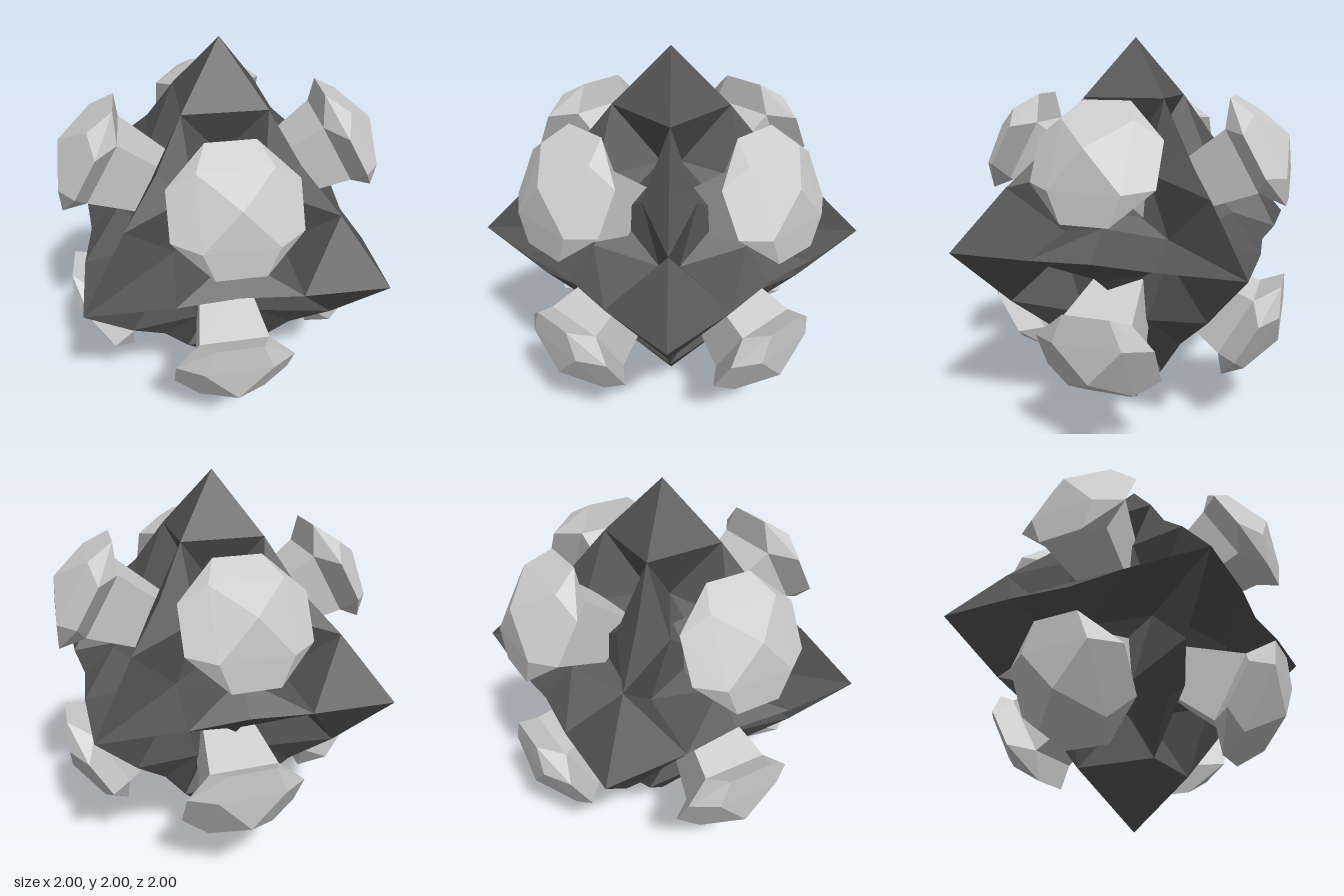
import * as THREE from 'three';

const dark = new THREE.MeshStandardMaterial({ color: 0x555555, flatShading: true });
const light = new THREE.MeshStandardMaterial({ color: 0xcccccc, flatShading: true });

// Flat-faced geometry from polygons, reflected into the octant with signs s
function facetGeometry(polygons, s) {
  const flip = s.x * s.y * s.z < 0;
  const points = [];
  for (const poly of polygons) {
    for (let i = 1; i < poly.length - 1; i++) {
      const tri = [poly[0], poly[i], poly[i + 1]];
      if (flip) tri.reverse();
      for (const p of tri) points.push(p.clone().multiply(s));
    }
  }
  const geometry = new THREE.BufferGeometry().setFromPoints(points);
  geometry.computeVertexNormals();
  return geometry;
}

// One eighth of the core: three arrowhead tips, chamfered edges and a sunken middle
function coreFaces() {
  const at = (i, a, j = 0, b = 0, rest = 0) => {
    const p = new THREE.Vector3(rest, rest, rest);
    p.setComponent(i, a);
    if (b) p.setComponent(j, b);
    return p;
  };
  const centre = new THREE.Vector3(0.27, 0.27, 0.27);
  const faces = [];
  for (let i = 0; i < 3; i++) {
    const j = (i + 1) % 3, k = (i + 2) % 3;
    const tip = at(i, 1);
    const edgeI = at(i, 0.71, j, 0.29), edgeJ = at(j, 0.71, i, 0.29), edgeK = at(i, 0.71, k, 0.29);
    const notchI = at(i, 0.43, 0, 0, 0.05), notchJ = at(j, 0.43, 0, 0, 0.05);
    const mid = at(i, 0.48, j, 0.48);
    const innerMid = at(i, 0.37, j, 0.37, 0.13);
    // the side tips fold along a valley, the others are undercut behind a flat face
    faces.push(i === 0 ? [tip, edgeI, notchI, edgeK] : [edgeI, notchI, edgeK, tip]);
    faces.push([edgeI, mid, innerMid, notchI], [edgeJ, notchJ, innerMid, mid]);
    faces.push([notchI, innerMid, centre], [innerMid, notchJ, centre]);
  }
  return faces;
}

// Knob in the positive octant: square stem, octagonal rim and a pyramid cap
function knobFaces() {
  const normal = new THREE.Vector3(0.6, 0.49, 0.635).normalize();
  const right = new THREE.Vector3(0, 1, 0).cross(normal).normalize();
  const up = normal.clone().cross(right);
  const centre = new THREE.Vector3(0.475, 0.461, 0.447);
  const ring = (radius, degrees, h) => {
    const a = THREE.MathUtils.degToRad(degrees);
    return centre.clone()
      .addScaledVector(right, radius * Math.cos(a))
      .addScaledVector(up, radius * Math.sin(a))
      .addScaledVector(normal, h);
  };
  const corner = (half, k, h) => ring(half * Math.SQRT2, 45 + 90 * k, h);
  const peak = ring(0, 0, 0.155);
  const faces = [];
  for (let k = 0; k < 4; k++) {
    const [rimA, rimB, rimC] = [-21, 21, 69].map((d) => ring(0.314, d + 90 * k, 0));
    const [cap0, cap1] = [k - 1, k].map((n) => corner(0.168, n, 0.07));
    const [stem0, stem1] = [k - 1, k].map((n) => corner(0.172, n, -0.08));
    const [base0, base1] = [k - 1, k].map((n) => corner(0.115, n, -0.45));
    faces.push([peak, cap0, cap1], [rimA, rimB, cap1, cap0], [cap1, rimB, rimC]);
    faces.push([stem0, stem1, rimB, rimA], [stem1, rimC, rimB], [base0, base1, stem1, stem0]);
  }
  return faces;
}

export function createModel() {
  const model = new THREE.Group();
  model.name = 'spikedCrystal';
  const core = new THREE.Group();
  core.name = 'core';
  const knobs = new THREE.Group();
  knobs.name = 'knobs';
  const coreShape = coreFaces(), knobShape = knobFaces();

  // Repeat face and knob in all eight octants
  for (const x of [1, -1]) for (const y of [1, -1]) for (const z of [1, -1]) {
    const signs = new THREE.Vector3(x, y, z);
    const face = new THREE.Mesh(facetGeometry(coreShape, signs), dark);
    face.name = 'coreFace';
    core.add(face);
    const knob = new THREE.Mesh(facetGeometry(knobShape, signs), light);
    knob.name = 'knob';
    knobs.add(knob);
  }
  model.add(core, knobs);
  core.position.y = knobs.position.y = 1;
  return model;
}
